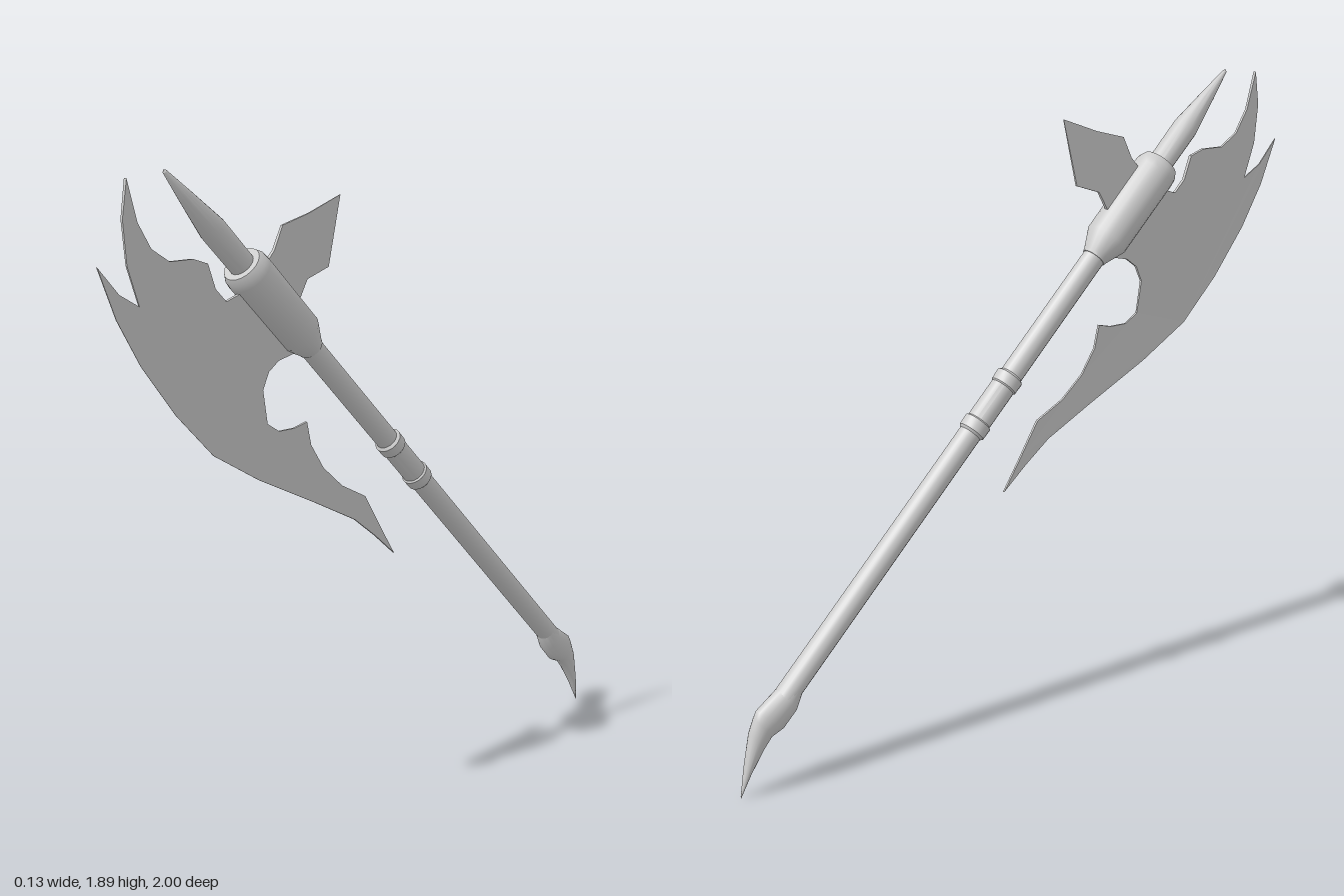
import * as THREE from 'three';
import { toCreasedNormals } from 'three/addons/utils/BufferGeometryUtils.js';

const SIDES = 20;
const AXIS_HEIGHT = 1.112; // height of the tilted handle axis at z = 0
const material = new THREE.MeshStandardMaterial({ color: 0xcccccc });
const thinMaterial = new THREE.MeshStandardMaterial({ color: 0xcccccc, side: THREE.DoubleSide });

function addMesh(parent, name, geometry, mat = material) {
  const mesh = new THREE.Mesh(geometry, mat);
  mesh.name = name;
  parent.add(mesh);
}

// Turned part: profile of [radius, distance along the handle], bottom to top
function turned(profile) {
  const geo = new THREE.LatheGeometry(profile.map(([r, s]) => new THREE.Vector2(r, s)), SIDES);
  return toCreasedNormals(geo, 0.6);
}

// Thin plate in the z-y plane, outline of [z, y], thinning away from the handle
function plate(outline) {
  const shape = new THREE.Shape(outline.map(([z, y]) => new THREE.Vector2(z, y)));
  const geo = new THREE.ExtrudeGeometry(shape, { depth: 2, bevelEnabled: false });
  geo.translate(0, 0, -1);
  geo.rotateY(-Math.PI / 2);
  const pos = geo.attributes.position;
  for (let i = 0; i < pos.count; i++) {
    const distance = Math.abs(pos.getY(i) - pos.getZ(i) - AXIS_HEIGHT) * Math.SQRT1_2;
    pos.setX(i, pos.getX(i) * (0.0005 + 0.006 * Math.max(0, 1 - distance / 0.42)));
  }
  geo.computeVertexNormals();
  return geo;
}

// Loft of ellipses; each station is [z, y] of both side edges and the half width in x
function loft(stations) {
  const positions = [], index = [];
  stations.forEach(([z0, y0, z1, y1, hx], i) => {
    for (let j = 0; j < SIDES; j++) {
      const a = (j / SIDES) * Math.PI * 2, t = (1 - Math.cos(a)) / 2;
      positions.push(hx * Math.sin(a), y0 + (y1 - y0) * t, z0 + (z1 - z0) * t);
      if (i === 0) continue;
      const k = (j + 1) % SIDES, p = (i - 1) * SIDES, q = i * SIDES;
      index.push(p + j, p + k, q + j, p + k, q + k, q + j);
    }
  });
  const geo = new THREE.BufferGeometry();
  geo.setAttribute('position', new THREE.Float32BufferAttribute(positions, 3));
  geo.setIndex(index);
  return toCreasedNormals(geo, 0.7);
}

export function createModel() {
  const model = new THREE.Group();

  // Handle parts share one axis tilted 45 degrees forward
  const handle = new THREE.Group();
  handle.name = 'handle';
  handle.position.y = AXIS_HEIGHT;
  handle.rotation.x = Math.PI / 4;
  model.add(handle);

  addMesh(handle, 'shaft', turned([[0.034, -1.2], [0.034, 0.4]]));
  addMesh(handle, 'grip', turned([[0.037, -0.26], [0.037, -0.09]]));
  for (const s of [-0.26, -0.095]) {
    addMesh(handle, 'gripRing', turned([
      [0.034, s - 0.024], [0.041, s - 0.017], [0.042, s + 0.017], [0.034, s + 0.024],
    ]));
  }
  addMesh(handle, 'collar', turned([
    [0, 0.365], [0.037, 0.365], [0.04, 0.375], [0.066, 0.435], [0.067, 0.69],
    [0.065, 0.71], [0.056, 0.728], [0, 0.728],
  ]));
  addMesh(handle, 'topSpike', turned([
    [0.037, 0.7], [0.038, 0.87], [0.02, 1.0], [0.006, 1.093], [0, 1.1],
  ]));

  // Hooked pommel, bending down to a point
  addMesh(model, 'pommel', loft([
    [-0.84, 0.31, -0.80, 0.264, 0.034],
    [-0.87, 0.291, -0.818, 0.22, 0.036],
    [-0.937, 0.246, -0.858, 0.177, 0.034],
    [-0.947, 0.226, -0.898, 0.16, 0.029],
    [-0.963, 0.187, -0.925, 0.128, 0.026],
    [-0.984, 0.09, -0.967, 0.064, 0.015],
    [-1.0, 0.005, -0.999, 0.0, 0.001],
  ]));

  // Main crescent blade
  addMesh(model, 'mainBlade', plate([
    [-0.08, 0.707], [-0.02, 0.8], [0.045, 0.905], [0.14, 0.953], [0.215, 1.018],
    [0.264, 1.093], [0.28, 1.162], [0.328, 1.151], [0.387, 1.151], [0.43, 1.178],
    [0.446, 1.275], [0.424, 1.323], [0.387, 1.35], [0.32, 1.365], [0.32, 1.43],
    [0.48, 1.59], [0.52, 1.55], [0.575, 1.532], [0.612, 1.569], [0.638, 1.639],
    [0.687, 1.655], [0.767, 1.655], [0.826, 1.692], [0.869, 1.762], [0.901, 1.875],
    [0.917, 1.773], [0.906, 1.655], [0.869, 1.548], [0.933, 1.585], [1.0, 1.66],
    [0.944, 1.521], [0.869, 1.393], [0.756, 1.248], [0.628, 1.119], [0.462, 1.023],
    [0.248, 0.921], [0.087, 0.841], [0.0, 0.775],
  ]), thinMaterial);

  // Small fin opposite the blade
  addMesh(model, 'backFin', plate([
    [0.46, 1.59], [0.398, 1.655], [0.366, 1.72], [0.264, 1.746], [0.14, 1.79],
    [0.19, 1.592], [0.274, 1.565], [0.306, 1.51], [0.34, 1.46],
  ]), thinMaterial);

  return model;
}
